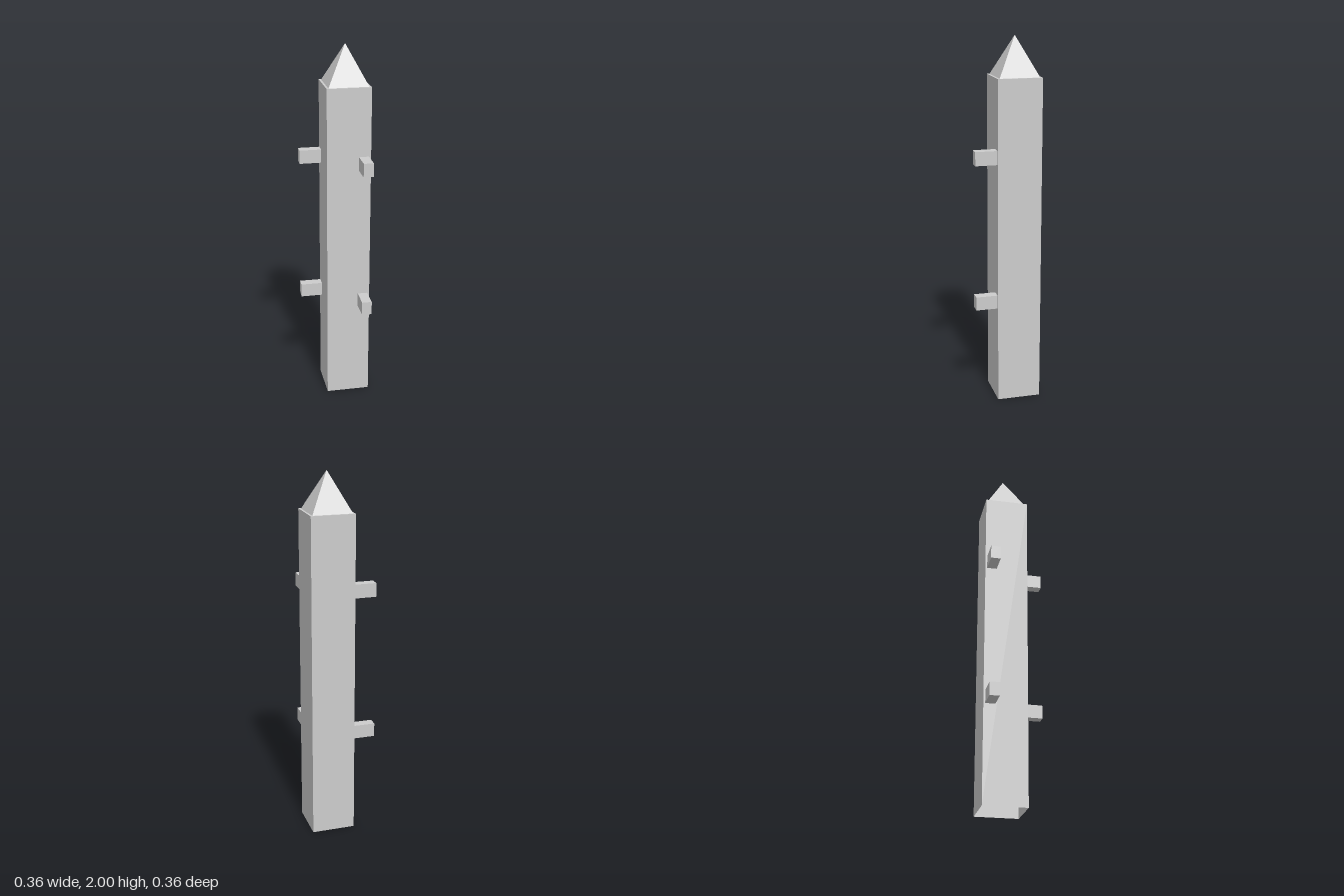
import * as THREE from 'three';

export function createModel() {
  const model = new THREE.Group();
  const grey = new THREE.MeshStandardMaterial({ color: 0xcccccc, side: THREE.DoubleSide });
  grey.name = 'light grey';

  function add(name, geometry, x, y, z) {
    const mesh = new THREE.Mesh(geometry, grey);
    mesh.name = name;
    mesh.position.set(x, y, z);
    model.add(mesh);
    return mesh;
  }

  const centre = 0.0595, width = 0.239, height = 1.79;

  // Hollow square post, open at the bottom
  const shell = new THREE.BoxGeometry(width, height, width);
  const faces = Array.from(shell.index.array);
  faces.splice(18, 6); // drop the underside
  shell.setIndex(faces);
  shell.clearGroups();
  add('post', shell, centre, height / 2, -centre);

  // Pyramid cap, slightly narrower than the post
  const capHeight = 2 - height;
  const pyramid = new THREE.ConeGeometry(0.108 * Math.SQRT2, capHeight, 4, 1, true)
    .rotateY(Math.PI / 4).toNonIndexed();
  pyramid.computeVertexNormals();
  add('pointedCap', pyramid, centre, height + capHeight / 2, -centre);

  // Rail stubs: a pair on the right side and a pair on the front
  for (const [level, y] of [['lower', 0.578], ['upper', 1.379]]) {
    add(level + 'SideRailStub', new THREE.BoxGeometry(0.119, 0.075, 0.054), -0.1195, y, -0.142);
    add(level + 'FrontRailStub', new THREE.BoxGeometry(0.054, 0.075, 0.119), 0.14, y, 0.1195);
  }
  return model;
}
